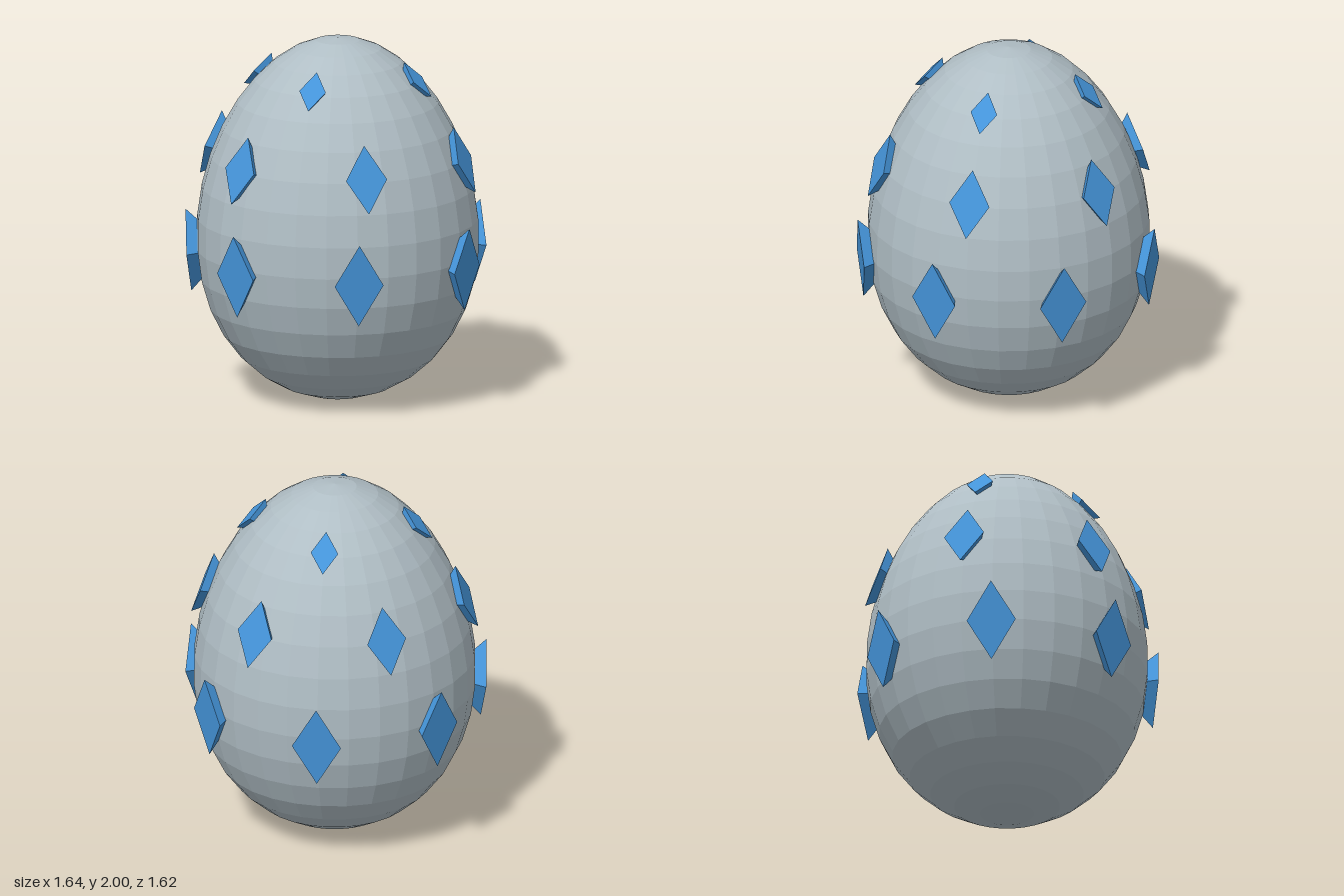
import * as THREE from 'three';

const shellGrey = new THREE.MeshStandardMaterial({ color: 0xb0bec5, flatShading: true });
shellGrey.name = 'shellGrey';
const scaleBlue = new THREE.MeshStandardMaterial({ color: 0x4595da, flatShading: true });
scaleBlue.name = 'scaleBlue';

// Egg: a faceted sphere, narrower towards the top
function makeShell() {
  const geometry = new THREE.SphereGeometry(1, 28, 18);
  const p = geometry.attributes.position;
  for (let i = 0; i < p.count; i++) {
    const y = p.getY(i);
    const r = 0.765 - 0.08 * y;
    p.setXYZ(i, p.getX(i) * r, y + 1, p.getZ(i) * r);
  }
  geometry.computeVertexNormals();
  const shell = new THREE.Mesh(geometry, shellGrey);
  shell.name = 'eggShell';
  return shell;
}

// Diamond plate facing +z, its outer face at z = 0, tapering inwards
function diamondGeometry(halfWidth, halfHeight, depth) {
  return new THREE.CylinderGeometry(1, 0.6, depth, 4)
    .translate(0, -depth / 2, 0)
    .rotateX(Math.PI / 2)
    .scale(halfWidth, halfHeight, 1);
}

// Rings of plates; tilt is how far each faces upwards, in degrees
const rings = [
  { name: 'lowerScale', count: 7, start: 180 / 7, y: 0.8, r: 0.813, w: 0.134, h: 0.228, depth: 0.09, tilt: -4 },
  { name: 'middleScale', count: 6, start: 30, y: 1.367, r: 0.722, w: 0.114, h: 0.188, depth: 0.08, tilt: 19.4 },
  { name: 'upperScale', count: 4, start: 0, y: 1.796, r: 0.455, w: 0.075, h: 0.12, depth: 0.055, tilt: 41 },
];

export function createModel() {
  const model = new THREE.Group();
  model.name = 'scaledEgg';
  const egg = new THREE.Group();
  egg.name = 'egg';
  egg.position.z = 0.015;
  egg.add(makeShell());

  for (const ring of rings) {
    const geometry = diamondGeometry(ring.w, ring.h, ring.depth);
    for (let i = 0; i < ring.count; i++) {
      const pivot = new THREE.Group();
      pivot.name = ring.name;
      pivot.rotation.y = THREE.MathUtils.degToRad(ring.start + (i * 360) / ring.count);
      const plate = new THREE.Mesh(geometry, scaleBlue);
      plate.name = ring.name + 'Plate';
      plate.position.set(0, ring.y, ring.r);
      plate.rotation.x = -THREE.MathUtils.degToRad(ring.tilt);
      pivot.add(plate);
      egg.add(pivot);
    }
  }
  model.add(egg);
  return model;
}
